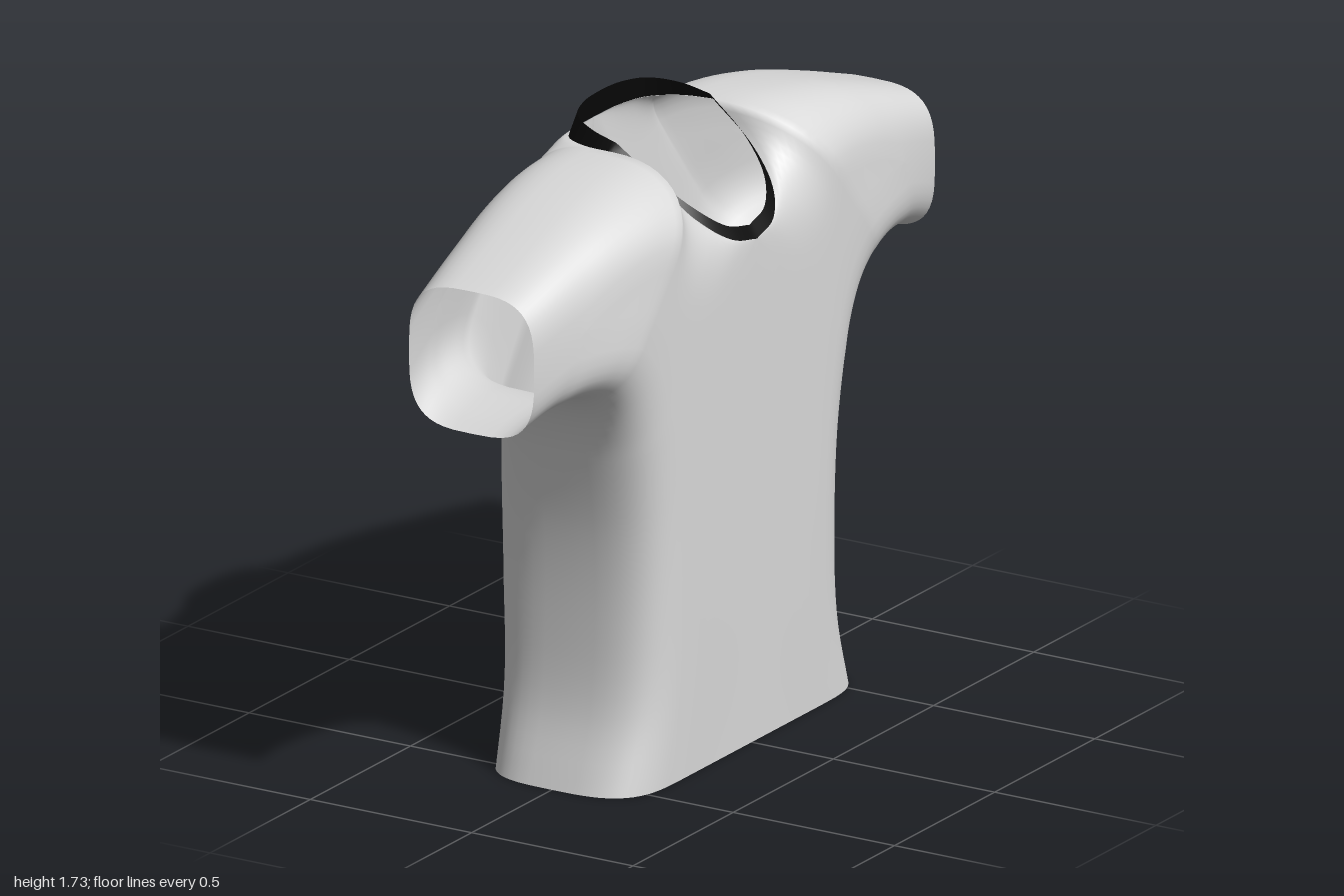
import * as THREE from 'three';
import { mergeVertices } from 'three/addons/utils/BufferGeometryUtils.js';

const spline = (pts) => new THREE.CatmullRomCurve3(pts.map((p) => new THREE.Vector3(...p)));
const lerp = THREE.MathUtils.lerp;

// Edge line from hem up the flank, round the armpit and along the underside of the sleeve
const under = spline([
  [0, 0, 0.6], [0, 0.2, 0.532], [0, 0.45, 0.508], [0, 0.7, 0.513], [0, 0.9, 0.545],
  [0, 0.98, 0.567], [0, 1.05, 0.6], [0, 1.1, 0.64], [0, 1.135, 0.69],
  [0, 1.155, 0.78], [0, 1.15, 0.86], [0, 1.137, 0.93], [0, 1.113, 1],
]);

// Opposite edge: centre line, then neckline, then shoulder seam
const shoulder = spline([
  [-0.03, 1.67, 0.25], [-0.02, 1.667, 0.4], [-0.005, 1.635, 0.6], [0, 1.577, 0.8], [0, 1.51, 1],
]);
const chestNeck = spline([
  [0.262, 1.408, 0], [0.25, 1.432, 0.1], [0.2, 1.49, 0.178], [0.1, 1.575, 0.232], [-0.03, 1.67, 0.25],
]);
const backNeck = spline([
  [-0.242, 1.655, 0], [-0.235, 1.657, 0.1], [-0.2, 1.662, 0.19], [-0.12, 1.667, 0.238], [-0.03, 1.67, 0.25],
]);
const chestEdge = [spline([[0.247, 0, 0], [0.257, 0.7, 0], [0.262, 1.408, 0]]), chestNeck, shoulder];
const backEdge = [
  spline([[-0.247, 0, 0], [-0.256, 0.5, 0], [-0.265, 1.0, 0], [-0.264, 1.35, 0], [-0.242, 1.655, 0]]),
  backNeck, shoulder,
];

const ROWS = [20, 16, 18]; // torso, yoke, sleeve
const ZONE = 12, MID = 5;  // columns in each rounded zone and in the flat between

// One cross-section from the centre/neck/shoulder edge to the underside edge
function section(edges, side, seg, f) {
  const c = edges[seg].getPoint(f);
  const u = under.getPoint((seg + f) / 3);
  const start = Math.abs(edges[0].getPoint(1).x);
  const depth = seg === 0 ? Math.abs(c.x)
    : seg === 1 ? lerp(start, 0.265, f) : 0.265 - 0.071 * f ** 1.2;
  const length = Math.hypot(u.y - c.y, u.z - c.z);
  const zone = Math.min(0.25, length / 2) / length;
  const nC = side < 0 ? 3.3 : seg < 2 ? 2.2 : lerp(2.2, 3.3, f);
  const nU = 3.3;
  const points = [];
  const add = (s, x) => points.push([x, lerp(c.y, u.y, s), lerp(c.z, u.z, s)]);
  for (let i = 0; i <= ZONE; i++) {
    const a = (i / ZONE) * Math.PI / 2;
    const w = Math.sin(a) ** (2 / nC), v = 1 - Math.max(0, Math.cos(a)) ** (2 / nC);
    add(v * zone, lerp(c.x, side * depth, w));
  }
  for (let i = 1; i < MID; i++) add(lerp(zone, 1 - zone, i / MID), side * depth);
  for (let i = ZONE; i >= 0; i--) {
    const a = (i / ZONE) * Math.PI / 2;
    const w = Math.sin(a) ** (2 / nU), v = 1 - Math.max(0, Math.cos(a)) ** (2 / nU);
    add(1 - v * zone, side * depth * w);
  }
  return points;
}

// Whole cloth shell, welded for smooth normals, then split into torso and sleeves
function clothParts() {
  const rows = [];
  ROWS.forEach((count, seg) => {
    for (let i = seg ? 1 : 0; i <= count; i++) {
      const chest = section(chestEdge, 1, seg, i / count);
      const back = section(backEdge, -1, seg, i / count).reverse();
      rows.push([...chest, ...back.slice(1)]);
    }
  });
  const cols = rows[0].length;
  const bodyRows = ROWS[0] + ROWS[1];
  const positions = [], body = [], sleeves = [[], []];
  [1, -1].forEach((m, half) => {
    const base = half * rows.length * cols;
    rows.flat().forEach(([x, y, z]) => positions.push(x, y, z * m));
    for (let r = 0; r < rows.length - 1; r++) {
      const list = r < bodyRows ? body : sleeves[half];
      for (let k = 0; k < cols - 1; k++) {
        const a = base + r * cols + k, b = a + cols, d = a + 1, e = b + 1;
        if (m > 0) list.push(a, b, d, d, b, e);
        else list.push(a, d, b, d, e, b);
      }
    }
  });
  let shell = new THREE.BufferGeometry();
  shell.setAttribute('position', new THREE.Float32BufferAttribute(positions, 3));
  shell.setIndex([...body, ...sleeves[0], ...sleeves[1]]);
  shell = mergeVertices(shell, 1e-4);
  shell.computeVertexNormals();
  const index = Array.from(shell.index.array);
  let from = 0;
  return [body, ...sleeves].map((list) => {
    const part = shell.clone();
    part.setIndex(index.slice(from, from += list.length));
    return part;
  });
}

// Neckband: rises from the neckline, tallest at the nape
function collarGeometry() {
  const N = 24, loop = [];
  const mirror = (p) => new THREE.Vector3(p.x, p.y, -p.z);
  for (let i = 0; i < N; i++) loop.push(chestNeck.getPoint(i / N));
  for (let i = 0; i < N; i++) loop.push(backNeck.getPoint(1 - i / N));
  for (let i = 0; i < N; i++) loop.push(mirror(backNeck.getPoint(i / N)));
  for (let i = 0; i < N; i++) loop.push(mirror(chestNeck.getPoint(1 - i / N)));
  const positions = [], index = [], count = loop.length;
  loop.forEach((p, i) => {
    const c = Math.cos((i / count) * Math.PI * 2); // 1 at chest, -1 at nape
    const rise = 0.02 + (c > 0 ? 0.014 * c : -0.058 * c);
    positions.push(p.x * 1.005, p.y, p.z * 1.005, p.x * 0.915, p.y + rise, p.z * 0.93);
    const a = 2 * i, b = 2 * ((i + 1) % count);
    index.push(a, a + 1, b, b, a + 1, b + 1);
  });
  const g = new THREE.BufferGeometry();
  g.setAttribute('position', new THREE.Float32BufferAttribute(positions, 3));
  g.setIndex(index);
  g.computeVertexNormals();
  return g;
}

export function createModel() {
  const cloth = new THREE.MeshStandardMaterial({ color: 0xd9d9d9, side: THREE.DoubleSide });
  cloth.name = 'light grey cloth';
  const trim = new THREE.MeshStandardMaterial({ color: 0x0a0a0a, side: THREE.DoubleSide });
  trim.name = 'black trim';

  const shirt = new THREE.Group();
  shirt.name = 'shirt';
  const add = (name, geometry, material) => {
    const mesh = new THREE.Mesh(geometry, material);
    mesh.name = name;
    shirt.add(mesh);
  };
  const names = ['torso', 'frontSleeve', 'rearSleeve'];
  clothParts().forEach((g, i) => add(names[i], g, cloth));
  add('collar', collarGeometry(), trim);
  return shirt;
}
